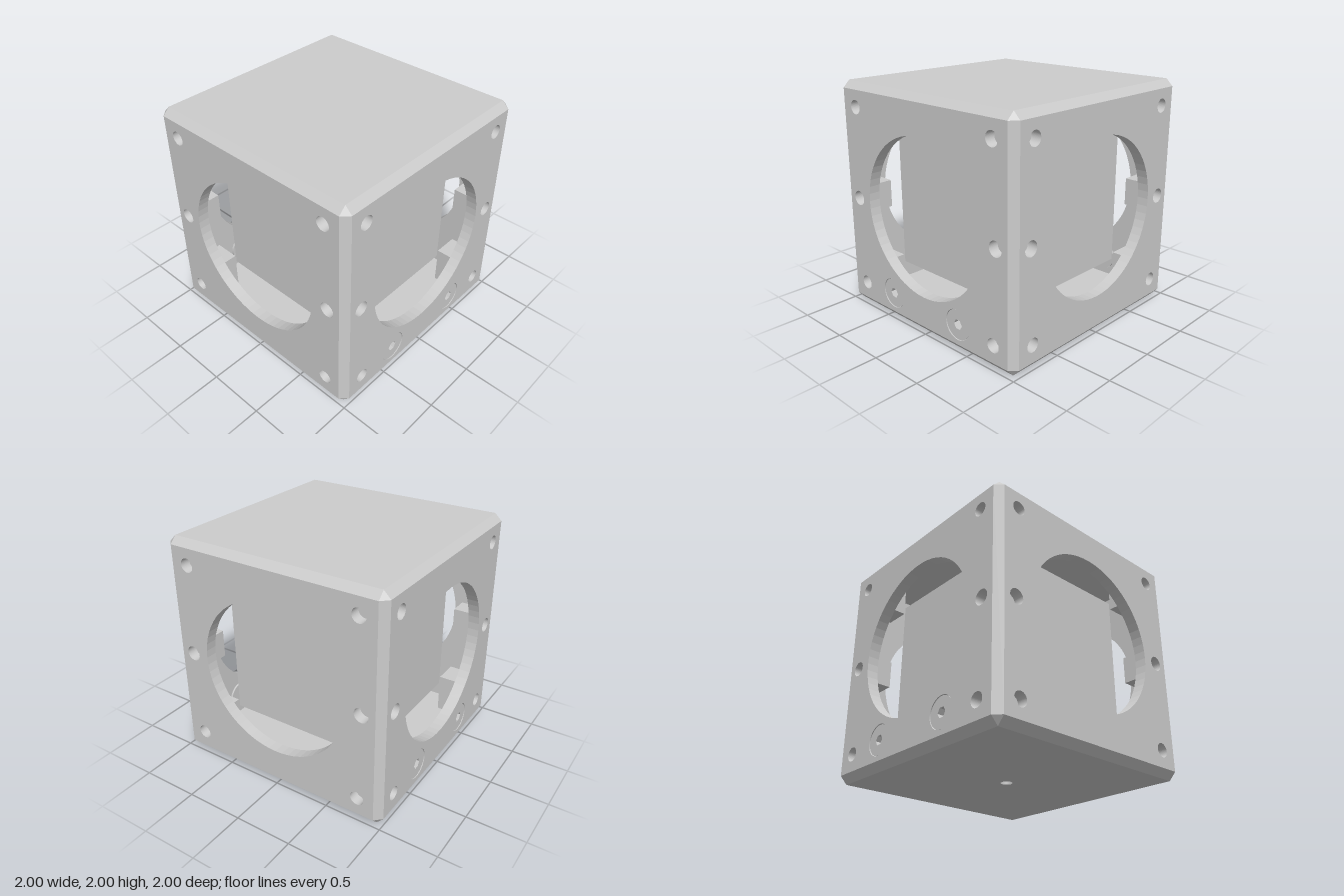
import * as THREE from 'three';

const mat = new THREE.MeshStandardMaterial({ color: 0xcccccc });
const C = 0.06; // edge chamfer
const WALL = 0.1;

function add(parent, name, geo, x = 0, y = 0, z = 0) {
  const m = new THREE.Mesh(geo, mat);
  m.name = name;
  m.position.set(x, y, z);
  parent.add(m);
  return m;
}

const circle = (x, y, r) => new THREE.Path().absarc(x, y, r, 0, Math.PI * 2, true);

const polygon = (pts) => new THREE.Shape(pts.map(([x, y]) => new THREE.Vector2(x, y)));

const extrude = (shape, depth) =>
  new THREE.ExtrudeGeometry(shape, { depth, bevelEnabled: false, curveSegments: 32 });

// Square plate with cut corners whose outer face is drawn in by the chamfer
function chamferedPlate(thickness, holeRadius) {
  const a = 1, b = 1 - C;
  const shape = polygon([[a, -b], [a, b], [b, a], [-b, a], [-a, b], [-a, -b], [-b, -a], [b, -a]]);
  if (holeRadius) shape.holes.push(circle(0, 0, holeRadius));
  const geo = extrude(shape, thickness);
  const p = geo.attributes.position;
  for (let i = 0; i < p.count; i++) {
    if (p.getZ(i) < thickness / 2) continue;
    p.setX(i, THREE.MathUtils.clamp(p.getX(i), -b, b));
    p.setY(i, THREE.MathUtils.clamp(p.getY(i), -b, b));
  }
  geo.computeVertexNormals();
  return geo;
}

// One side wall facing +z, with its window, screw holes and optional bolts
function makeWall(withBolts) {
  const wall = new THREE.Group();
  const e = 1 - C;
  const shape = polygon([[-e, 0.065], [e, 0.065], [e, e + 1], [-e, e + 1]]);
  shape.holes.push(circle(0, 1.005, 0.67));
  for (const s of [-1, 1]) {
    shape.holes.push(circle(s * 0.79, 0.215, 0.06));
    shape.holes.push(circle(s * 0.79, 1.795, 0.06));
    shape.holes.push(circle(s * 0.82, 1.0, 0.064));
    if (withBolts) shape.holes.push(circle(s * 0.4, 0.24, 0.132));
  }
  add(wall, 'wallPanel', extrude(shape, WALL), 0, 0, 1 - WALL);

  if (withBolts) {
    for (const s of [-1, 1]) {
      const head = new THREE.Shape().absarc(0, 0, 0.128, 0, Math.PI * 2, false);
      const hex = [];
      for (let i = 0; i < 6; i++) {
        const t = -i * Math.PI / 3;
        hex.push(new THREE.Vector2(Math.cos(t) * 0.045, Math.sin(t) * 0.045));
      }
      head.holes.push(new THREE.Path(hex));
      add(wall, 'boltHead', extrude(head, 0.09), s * 0.4, 0.24, 0.905);
      const back = new THREE.CylinderGeometry(0.13, 0.13, 0.03, 32).rotateX(Math.PI / 2);
      add(wall, 'boltSeat', back, s * 0.4, 0.24, 0.9);
    }
  }
  return wall;
}

export function createModel() {
  const model = new THREE.Group();
  model.name = 'cubeHousing';

  // Four windowed walls, bolts on the two sides
  ['frontWall', 'leftWall', 'backWall', 'rightWall'].forEach((name, i) => {
    const wall = makeWall(i % 2 === 1);
    wall.name = name;
    wall.rotation.y = i * Math.PI / 2;
    model.add(wall);
  });

  // Chamfered vertical edges with inner screw blocks
  const e = 1 - C;
  for (let i = 0; i < 4; i++) {
    const corner = new THREE.Group();
    corner.name = 'corner';
    corner.rotation.y = i * Math.PI / 2;
    const prism = extrude(polygon([[e, -e], [1, -e], [e, -1]].reverse()), 1.875).rotateX(-Math.PI / 2);
    add(corner, 'cornerEdge', prism, 0, 0.065, 0);
    add(corner, 'lowerScrewBlock', new THREE.BoxGeometry(0.24, 0.35, 0.24), 0.79, 0.24, 0.79);
    add(corner, 'upperScrewBlock', new THREE.BoxGeometry(0.24, 0.3, 0.24), 0.79, 1.77, 0.79);
    add(corner, 'middleScrewBlock', new THREE.BoxGeometry(0.18, 0.24, 0.18), 0.82, 1, 0.82);
    model.add(corner);
  }

  // Roof and base lid
  add(model, 'roof', chamferedPlate(C).rotateX(-Math.PI / 2), 0, 2 - C, 0);
  add(model, 'roofLining', new THREE.BoxGeometry(1.84, 0.05, 1.84), 0, 1.92, 0);
  add(model, 'baseLid', chamferedPlate(0.065, 0.05).rotateX(Math.PI / 2), 0, 0.065, 0);

  // Inner cube held between two mounts
  add(model, 'innerCube', new THREE.BoxGeometry(1.33, 1.33, 1.33), 0, 1.015, 0);
  add(model, 'lowerMount', new THREE.BoxGeometry(0.54, 0.3, 0.54), 0, 0.21, 0);
  add(model, 'upperMount', new THREE.BoxGeometry(0.54, 0.24, 0.54), 0, 1.79, 0);

  return model;
}
